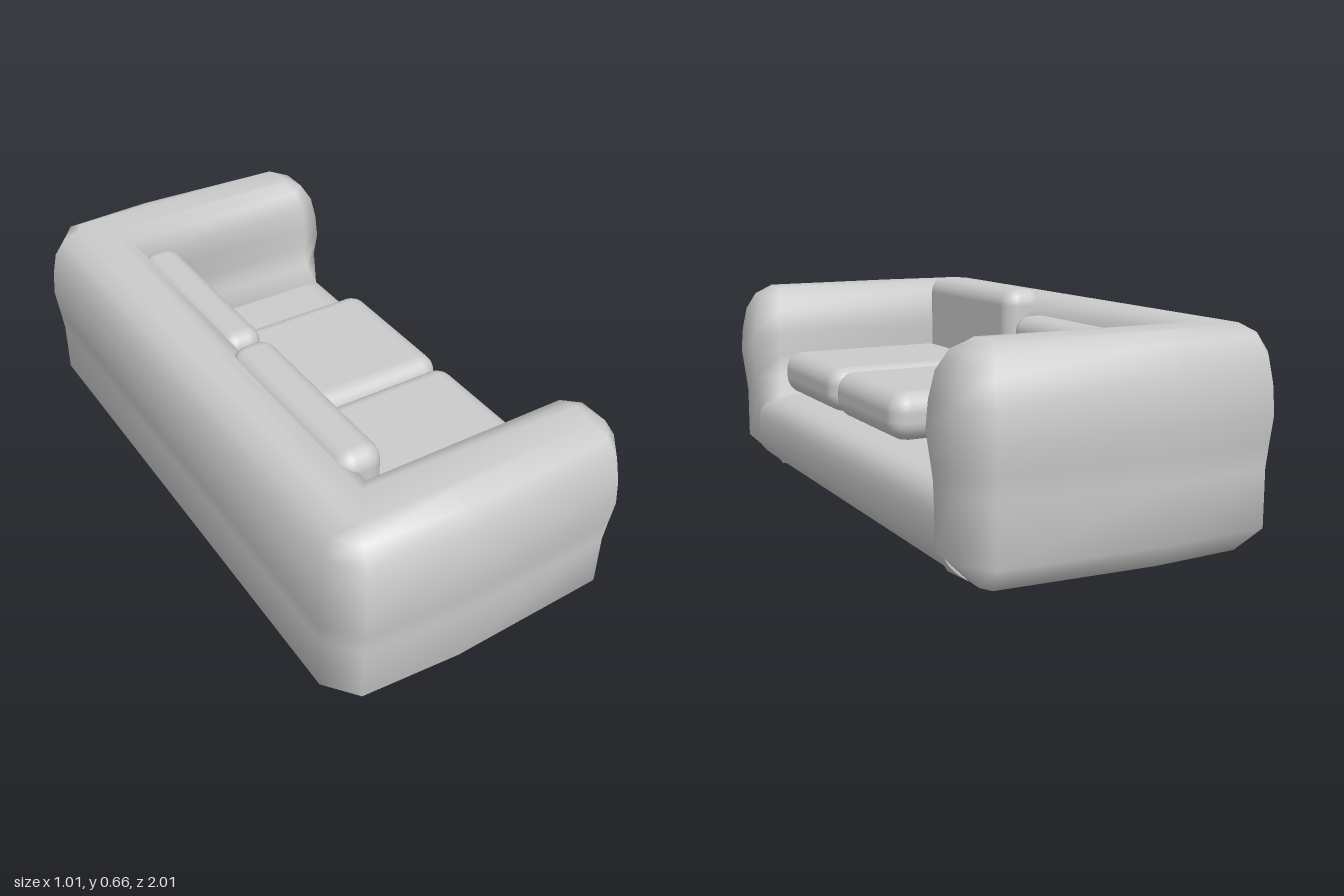
import * as THREE from 'three';
import { RoundedBoxGeometry } from 'three/addons/geometries/RoundedBoxGeometry.js';
import { toCreasedNormals } from 'three/addons/utils/BufferGeometryUtils.js';

const material = new THREE.MeshStandardMaterial({ color: 0xcccccc });

// Half of the U-shaped plan: x, z, inset direction x, inset direction z, inner flag
const half = [
  [-0.22, 0, -1, 0, 1],
  [-0.22, 0.69, -1, 1, 1],
  [0.42, 0.69, -0.4, 1, 1],
  [0.487, 0.75, -1, 0.6, 0],
  [0.487, 0.88, -1, -0.4, 0],
  [0.42, 0.965, -0.4, -1, 0],
  [-0.1, 0.985, 0, -1, 0],
  [-0.41, 0.965, 0.4, -1, 0],
  [-0.487, 0.87, 1, -0.4, 0],
  [-0.487, 0, 1, 0, 0],
];
const plan = [
  ...half,
  ...half.slice(1, -1).reverse().map(([x, z, dx, dz, inner]) => [x, -z, dx, -dz, inner]),
];

// Height, outer inset, inner inset (negative swells outward)
const levels = [
  [0, 0.08, 0],
  [0.08, 0, -0.05],
  [0.25, 0, -0.05],
  [0.32, -0.008, -0.01],
  [0.4, -0.018, 0],
  [0.48, -0.012, 0],
  [0.555, 0.003, 0.01],
  [0.61, 0.035, 0.038],
  [0.637, 0.085, 0.085],
];

// Back and both arms as one loft of U-shaped rings
function wallGeometry() {
  const n = plan.length;
  const positions = [];
  const index = [];
  for (const [y, outer, inner] of levels) {
    for (const [x, z, dx, dz, isInner] of plan) {
      const d = isInner ? inner : outer;
      positions.push(x + dx * d, y, z + dz * d);
    }
  }
  for (let k = 0; k < levels.length - 1; k++) {
    for (let i = 0; i < n; i++) {
      const a = k * n + i;
      const b = k * n + ((i + 1) % n);
      index.push(a, a + n, b, b, a + n, b + n);
    }
  }
  // Bottom and top caps, wound to face outward
  for (const level of [0, levels.length - 1]) {
    const base = level * n;
    const ring = plan.map((_, i) =>
      new THREE.Vector2(positions[(base + i) * 3], positions[(base + i) * 3 + 2]));
    for (const [a, b, c] of THREE.ShapeUtils.triangulateShape(ring, [])) {
      const facesDown = THREE.ShapeUtils.area([ring[a], ring[b], ring[c]]) > 0;
      if (facesDown === (level === 0)) index.push(base + a, base + b, base + c);
      else index.push(base + a, base + c, base + b);
    }
  }
  const geometry = new THREE.BufferGeometry();
  geometry.setAttribute('position', new THREE.Float32BufferAttribute(positions, 3));
  geometry.setIndex(index);
  geometry.computeVertexNormals();
  return geometry;
}

// Seat base: side profile with a rounded front edge, run between the arms
function baseGeometry() {
  const s = new THREE.Shape();
  s.moveTo(-0.3, 0);
  s.lineTo(0.407, 0);
  s.quadraticCurveTo(0.47, 0.04, 0.487, 0.09);
  s.lineTo(0.487, 0.17);
  s.quadraticCurveTo(0.485, 0.255, 0.4, 0.26);
  s.lineTo(-0.3, 0.26);
  s.closePath();
  const geometry = new THREE.ExtrudeGeometry(s, { depth: 1.58, bevelEnabled: false, curveSegments: 5 });
  geometry.translate(0, 0, -0.79);
  return toCreasedNormals(geometry, 0.9);
}

export function createModel() {
  const sofa = new THREE.Group();
  sofa.name = 'sofa';

  const add = (name, geometry) => {
    const mesh = new THREE.Mesh(geometry, material);
    mesh.name = name;
    sofa.add(mesh);
    return mesh;
  };

  add('backAndArms', wallGeometry());
  add('seatBase', baseGeometry());

  // Cushions given by their low and high corners
  const cushion = (name, [x0, y0, z0], [x1, y1, z1], radius) => {
    const geometry = new RoundedBoxGeometry(x1 - x0, y1 - y0, z1 - z0, 3, radius);
    add(name, geometry).position.set((x0 + x1) / 2, (y0 + y1) / 2, (z0 + z1) / 2);
  };
  cushion('leftSeatCushion', [-0.2, 0.268, 0.18], [0.412, 0.415, 0.69], 0.06);
  cushion('rightSeatCushion', [-0.2, 0.268, -0.325], [0.412, 0.415, 0.18], 0.06);
  cushion('leftBackCushion', [-0.31, 0.265, 0.055], [-0.165, 0.66, 0.695], 0.055);
  cushion('rightBackCushion', [-0.255, 0.265, -0.675], [-0.122, 0.59, -0.04], 0.05);

  return sofa;
}
